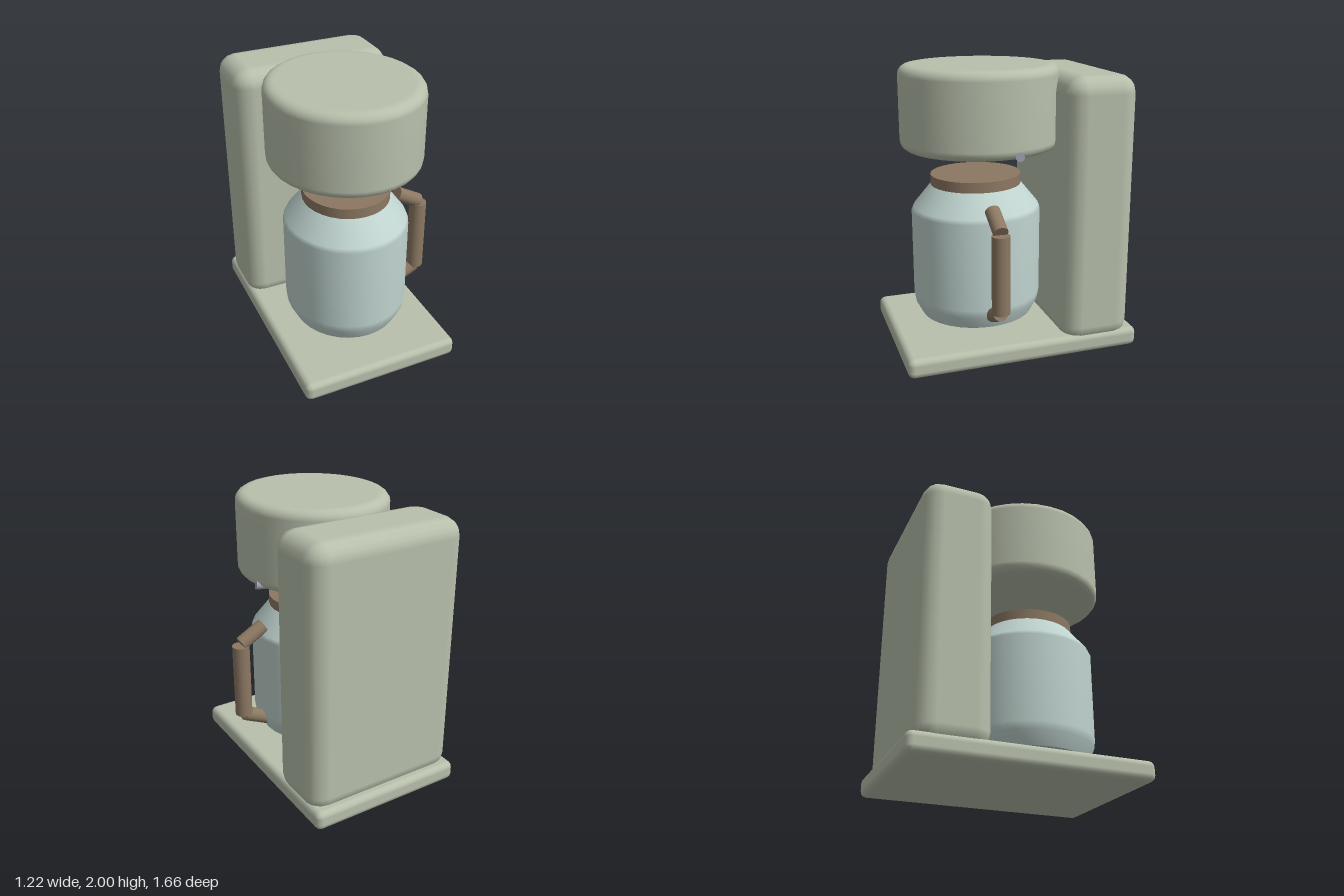
import * as THREE from 'three';
import { RoundedBoxGeometry } from 'three/addons/geometries/RoundedBoxGeometry.js';

const material = (color) => new THREE.MeshStandardMaterial({ color });

export function createModel() {
  const model = new THREE.Group();
  const shell = material(0xb8c0ac);
  const glass = material(0xc0d4cf);
  const brown = material(0x8c7862);
  const metal = material(0x9a9fb0);

  function add(parent, name, geometry, mat, x, y, z) {
    const mesh = new THREE.Mesh(geometry, mat);
    mesh.name = name;
    mesh.position.set(x, y, z);
    parent.add(mesh);
    return mesh;
  }

  const lathe = (points) =>
    new THREE.LatheGeometry(points.map(([r, y]) => new THREE.Vector2(r, y)), 32);

  // Cylinder or cone running between two points
  function rod(parent, name, from, to, rFrom, rTo, mat) {
    const a = new THREE.Vector3(...from);
    const b = new THREE.Vector3(...to);
    const dir = b.clone().sub(a);
    const mid = a.clone().add(b).multiplyScalar(0.5);
    const geometry = new THREE.CylinderGeometry(rTo, rFrom, dir.length(), 20);
    const mesh = add(parent, name, geometry, mat, mid.x, mid.y, mid.z);
    mesh.quaternion.setFromUnitVectors(new THREE.Vector3(0, 1, 0), dir.normalize());
    return mesh;
  }

  // Base plate and rear water column
  add(model, 'base', new RoundedBoxGeometry(1.155, 0.14, 1.665, 2, 0.045), shell, -0.033, 0.07, 0);
  add(model, 'column', new RoundedBoxGeometry(1.155, 1.88, 0.5, 2, 0.125), shell, -0.033, 1.01, -0.53);

  // Brewing head: drum with rounded rims, slightly longer front to back
  const rim = 0.065, radius = 0.525;
  const profile = [[0, 1.42], [radius - rim - 0.02, 1.42]];
  for (const [start, y] of [[-Math.PI / 2, 1.42 + rim], [0, 2 - rim]]) {
    for (let i = 0; i <= 4; i++) {
      const t = start + (i / 4) * Math.PI / 2;
      profile.push([radius - rim + rim * Math.cos(t), y + rim * Math.sin(t)]);
    }
  }
  profile.push([radius - rim - 0.02, 2], [0, 2]);
  add(model, 'brewHead', lathe(profile), shell, -0.033, 0, 0.165).scale.z = 1.057;

  // Small tapered nozzle under the head
  rod(model, 'nozzle', [0.485, 1.447, 0.045], [0.3, 1.42, 0.0], 0.03, 0.01, metal);

  // Carafe with lid
  const carafe = new THREE.Group();
  carafe.name = 'carafe';
  model.add(carafe);
  const jar = lathe([
    [0, 0.21], [0.378, 0.21], [0.38, 0.212], [0.425, 0.305], [0.433, 0.36],
    [0.433, 0.98], [0.42, 1.01], [0.305, 1.16], [0.3, 1.165], [0, 1.165],
  ]);
  add(carafe, 'jar', jar, glass, -0.035, 0, 0.195).scale.z = 1.06;
  const lid = new THREE.CylinderGeometry(0.302, 0.302, 0.078, 32);
  add(carafe, 'lid', lid, brown, -0.035, 1.197, 0.195).scale.z = 1.06;

  // Handle: grip and two slanted arms
  const z = 0.197;
  rod(carafe, 'handleGrip', [0.546, 0.4, z], [0.546, 0.95, z], 0.062, 0.062, brown);
  rod(carafe, 'handleUpperArm', [0.365, 1.065, z], [0.543, 0.965, z], 0.052, 0.052, brown);
  rod(carafe, 'handleLowerArm', [0.36, 0.31, z], [0.54, 0.395, z], 0.052, 0.052, brown);

  return model;
}
